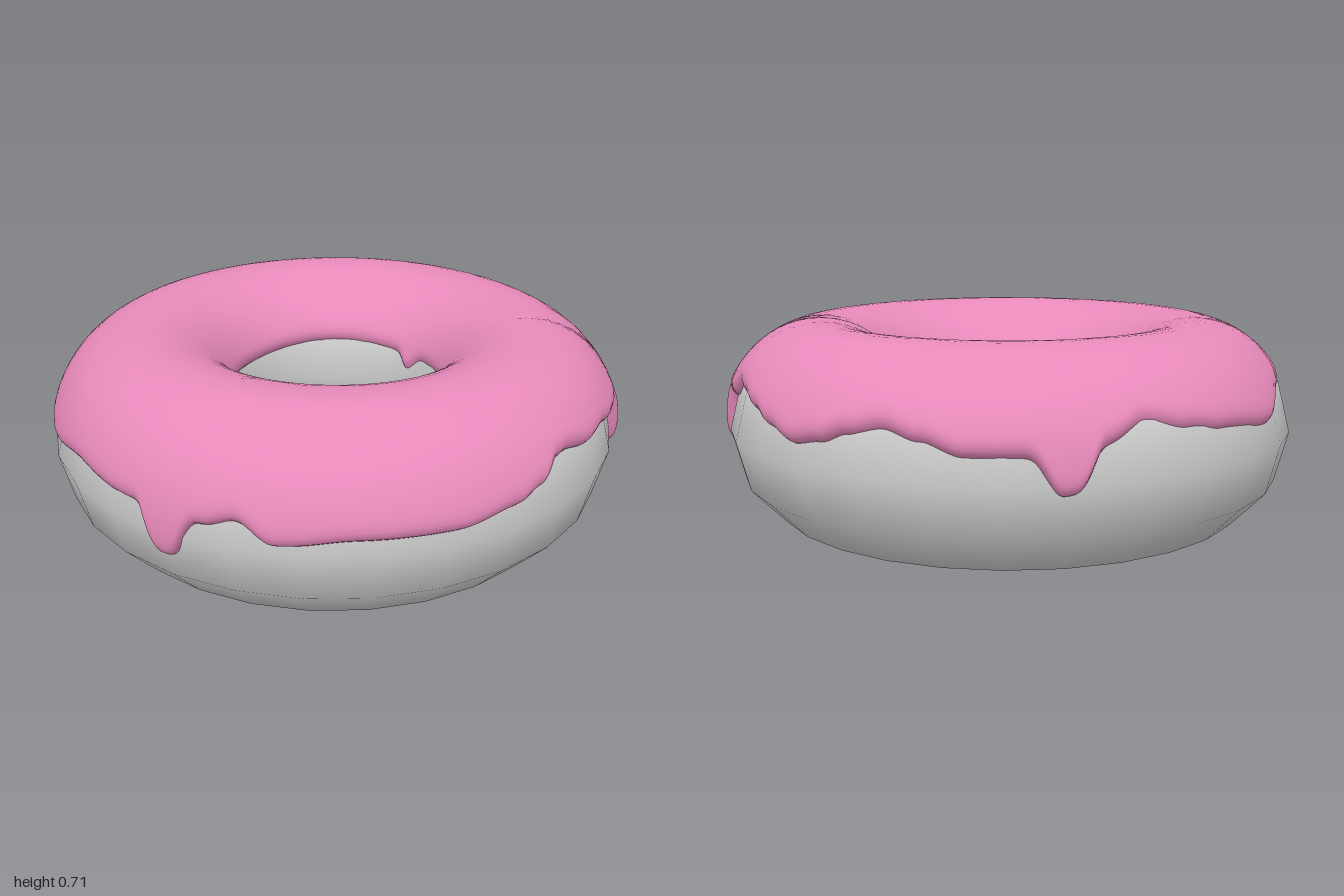
import * as THREE from 'three';

const RING = 0.665, MID_Y = 0.34, OFFSET = -0.008;

// Outer icing hem: [degrees from the front towards +x, height]
const HEM = [
  [0, 0.42], [6, 0.45], [12, 0.51], [15, 0.515], [24, 0.49], [31, 0.495], [38, 0.475], [46, 0.46],
  [60, 0.46], [66, 0.48], [72, 0.53], [78, 0.52], [87, 0.49], [94, 0.455], [102, 0.42], [108, 0.44],
  [114, 0.475], [121, 0.5], [128, 0.47], [136, 0.43], [145, 0.43], [160, 0.46], [168, 0.51],
  [177, 0.48], [185, 0.46], [201, 0.43], [212, 0.5], [225, 0.58], [233, 0.46], [241, 0.4],
  [254, 0.39], [270, 0.43], [284, 0.41], [303, 0.4], [309, 0.43], [316, 0.365], [330, 0.39],
  [348, 0.39], [360, 0.42],
];

// Drips hanging below the hem: [degrees, half width, length]
const DRIPS = [[53.5, 3.2, 0.21], [153.5, 4.5, 0.14], [295.5, 4, 0.15]];

function hemHeight(deg) {
  const k = HEM.findIndex((p) => p[0] > deg);
  const [d0, y0] = HEM[k - 1], [d1, y1] = HEM[k];
  let y = THREE.MathUtils.lerp(y0, y1, THREE.MathUtils.smoothstep(deg, d0, d1));
  for (const [at, width, length] of DRIPS) {
    y -= length * Math.exp(-Math.pow(Math.abs(deg - at) / width, 3));
  }
  return y;
}

// Hem inside the hole, nearly level with one small dip
function holeHemHeight(deg) {
  const a = THREE.MathUtils.degToRad(deg);
  return 0.48 + 0.01 * Math.sin(3 * a) - 0.05 * Math.exp(-(((deg - 97) / 6) ** 2));
}

// Coat swept round the ring; it thins to a rounded lip at both hems
function icingGeometry() {
  const around = 480, across = 32, lip = 0.05;
  const positions = [], indices = [];
  for (let i = 0; i < around; i++) {
    const deg = (i * 360) / around, phi = THREE.MathUtils.degToRad(deg);
    const inner = Math.PI - Math.asin((holeHemHeight(deg) - MID_Y) / 0.36);
    const outer = Math.asin((hemHeight(deg) - MID_Y) / 0.36);
    for (let j = 0; j <= across; j++) {
      const v = (1 - Math.cos((Math.PI * j) / across)) / 2;
      const t = THREE.MathUtils.lerp(inner, outer, v);
      const edge = Math.min(1, (Math.min(inner - t, t - outer) * 0.35) / lip);
      const swell = Math.sqrt(Math.max(0, 1 - (1 - edge) ** 2));
      const r = RING + (0.3 + 0.046 * swell) * Math.cos(t);
      const y = MID_Y + (0.315 + 0.057 * swell) * Math.sin(t);
      positions.push(r * Math.sin(phi), y, r * Math.cos(phi));
    }
  }
  const row = across + 1;
  for (let i = 0; i < around; i++) {
    for (let j = 0; j < across; j++) {
      const a = i * row + j, b = ((i + 1) % around) * row + j;
      indices.push(a, a + 1, b, b, a + 1, b + 1);
    }
  }
  const geometry = new THREE.BufferGeometry();
  geometry.setAttribute('position', new THREE.Float32BufferAttribute(positions, 3));
  geometry.setIndex(indices);
  geometry.computeVertexNormals();
  return geometry;
}

export function createModel() {
  const model = new THREE.Group();
  model.name = 'icedRing';

  // Dough ring
  const doughGeometry = new THREE.TorusGeometry(RING, 0.325, 12, 28)
    .rotateX(-Math.PI / 2)
    .scale(1, MID_Y / 0.325, 1)
    .translate(OFFSET, MID_Y, OFFSET);
  const dough = new THREE.Mesh(doughGeometry, new THREE.MeshStandardMaterial({ color: 0xcccccc }));
  dough.name = 'dough';

  // Pink icing
  const icing = new THREE.Mesh(
    icingGeometry(),
    new THREE.MeshStandardMaterial({ color: 0xe88abb, side: THREE.DoubleSide })
  );
  icing.name = 'icing';

  model.add(dough, icing);
  return model;
}
